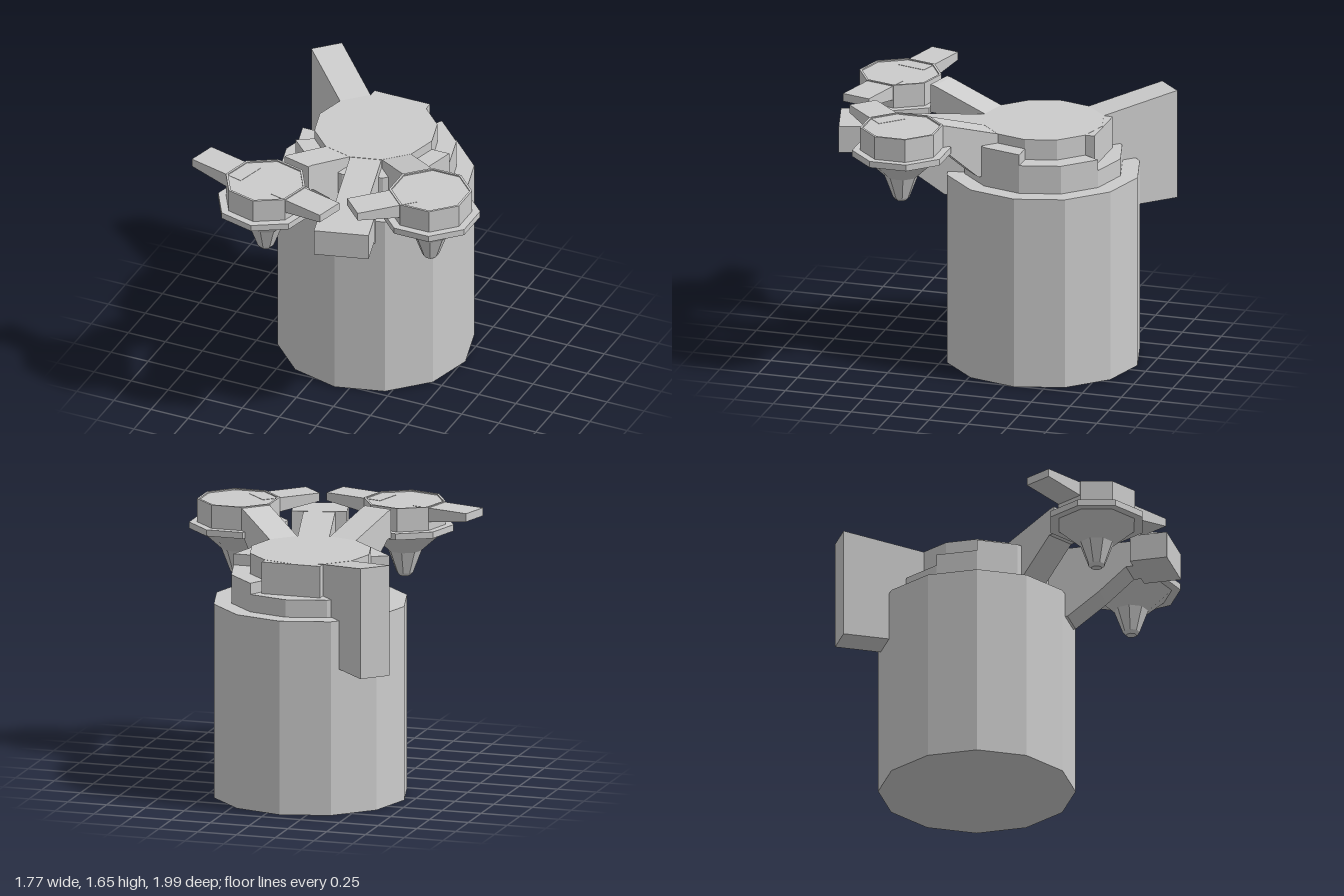
import * as THREE from 'three';

const material = new THREE.MeshStandardMaterial({ color: 0xcccccc, flatShading: true });
const rad = THREE.MathUtils.degToRad;

function addMesh(parent, name, geometry) {
  const mesh = new THREE.Mesh(geometry, material);
  mesh.name = name;
  parent.add(mesh);
  return mesh;
}

// Beam running outward along a heading (degrees from +z towards +x); profile is [distance, height]
function addBeam(parent, name, heading, width, profile) {
  const shape = new THREE.Shape(profile.map(([s, y]) => new THREE.Vector2(s, y)));
  const geometry = new THREE.ExtrudeGeometry(shape, { depth: width, bevelEnabled: false });
  geometry.translate(0, 0, -width / 2).rotateY(-Math.PI / 2);
  const mesh = addMesh(parent, name, geometry);
  mesh.rotation.y = rad(heading);
  return mesh;
}

// Wedge of a twelve-sided disc between two headings
function addSector(parent, name, from, to, radius, bottom, top) {
  const points = [new THREE.Vector2(0, 0)];
  for (let a = from; a <= to; a += 30) {
    points.push(new THREE.Vector2(Math.sin(rad(a)) * radius, -Math.cos(rad(a)) * radius));
  }
  const geometry = new THREE.ExtrudeGeometry(new THREE.Shape(points), { depth: top - bottom, bevelEnabled: false });
  geometry.rotateX(-Math.PI / 2).translate(0, bottom, 0);
  addMesh(parent, name, geometry);
}

function addDrum(parent, name, radius, bottom, top) {
  const geometry = new THREE.CylinderGeometry(radius, radius, top - bottom, 12);
  geometry.translate(0, (bottom + top) / 2, 0);
  addMesh(parent, name, geometry);
}

// Eight-sided pod: pointed underside, flange, and cap with a shallow recess
function createPod(name, x, y, z, heading, armSides) {
  const pod = new THREE.Group();
  pod.name = name;
  pod.position.set(x, y, z);
  pod.rotation.y = rad(heading);
  const lathe = (part, profile) => addMesh(pod, part, new THREE.LatheGeometry(
    profile.map(([r, h]) => new THREE.Vector2(r, h)), 8, Math.PI / 8));
  lathe('podCone', [[0, 1.165], [0.033, 1.165], [0.052, 1.185], [0.105, 1.325], [0.25, 1.455]]);
  lathe('podFlange', [[0, 1.455], [0.304, 1.455], [0.304, 1.495], [0.25, 1.495]]);
  lathe('podCap', [[0.255, 1.495], [0.255, 1.642], [0.24, 1.642], [0.24, 1.634], [0, 1.634]]);
  for (const side of armSides) {
    addBeam(pod, 'podSideArm', side * 90, 0.187,
      [[0.12, 1.545], [0.22, 1.545], [0.51, 1.585], [0.51, 1.636], [0.12, 1.636]]);
  }
  return pod;
}

export function createModel() {
  const model = new THREE.Group();
  model.name = 'model';

  const tower = new THREE.Group();
  tower.name = 'tower';
  tower.position.set(-0.09, 0, -0.315);
  model.add(tower);

  // Main body and central hub
  addDrum(tower, 'body', 0.605, 0, 1.22);
  addDrum(tower, 'hub', 0.378, 1.21, 1.53);
  const block = addMesh(tower, 'hubBackBlock', new THREE.BoxGeometry(0.375, 0.315, 0.2));
  block.position.set(0, 1.3715, -0.286);

  // Stepped ring around the hub
  const steps = [[-60, 90, 1.47], [90, 150, 1.4], [150, 270, 1.33], [270, 300, 1.4]];
  for (const [from, to, top] of steps) addSector(tower, 'ringStep', from, to, 0.495, 1.21, top);

  // Arms carrying the pods
  const armProfile = [[0.25, 1.27], [0.5, 1.27], [0.72, 1.465], [0.76, 1.465], [0.76, 1.645], [0.73, 1.641], [0.365, 1.529], [0.25, 1.529]];
  addBeam(tower, 'leftPodArm', 45, 0.19, armProfile);
  addBeam(tower, 'rightPodArm', -15, 0.19, armProfile);

  // Front bracket with a wide end block
  addBeam(tower, 'frontBracket', 15, 0.195,
    [[0.25, 1.07], [0.6, 1.07], [0.8, 1.215], [0.97, 1.36], [1.05, 1.36], [1.05, 1.528], [0.25, 1.528]]);
  addBeam(tower, 'frontBlock', 15, 0.34,
    [[1.015, 1.36], [1.248, 1.36], [1.248, 1.53], [1.015, 1.53]]);

  // Rear fin hanging beside the body
  addBeam(tower, 'rearFin', 225, 0.2,
    [[0.3, 0.915], [0.873, 0.915], [0.873, 1.61], [0.365, 1.529], [0.3, 1.529]]);

  // Pods
  model.add(createPod('rightPod', -0.37, 0, 0.69, -15, [-1, 1]));
  model.add(createPod('leftPod', 0.6, 0.008, 0.38, 45, [-1]));

  return model;
}
